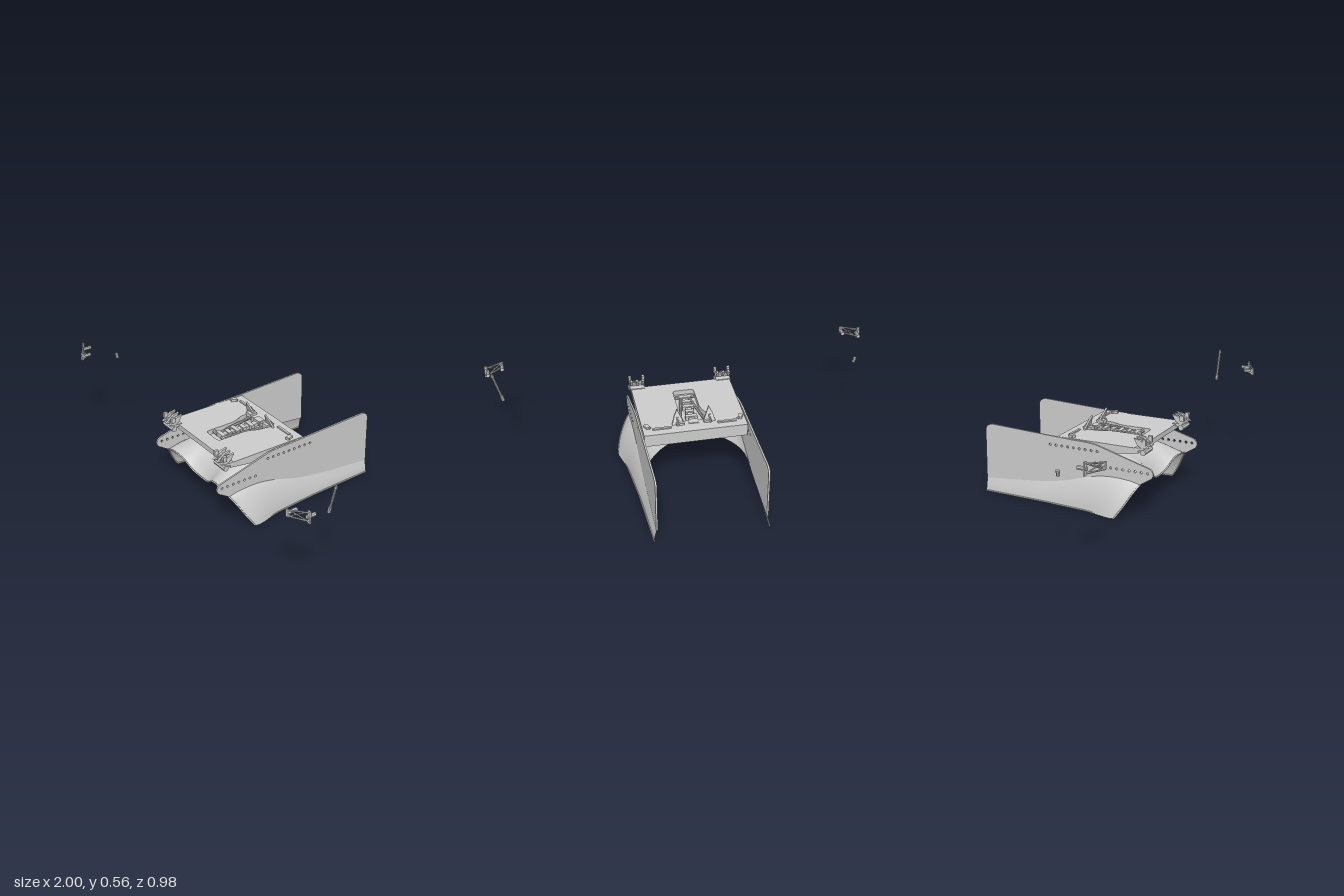
import * as THREE from 'three';

const mat = new THREE.MeshStandardMaterial({ color: 0xcccccc, side: THREE.DoubleSide });
const flat = new THREE.MeshStandardMaterial({ color: 0xcccccc, side: THREE.DoubleSide, flatShading: true });
const V = (p) => new THREE.Vector3(...p);

function add(parent, name, geo, m = flat) {
  const mesh = new THREE.Mesh(geo, m);
  mesh.name = name;
  parent.add(mesh);
  return mesh;
}
function box(parent, name, w, h, d, x, y, z) {
  const m = add(parent, name, new THREE.BoxGeometry(w, h, d));
  m.position.set(x, y, z);
  return m;
}
// Rod between two points, r2 is the radius at the far end
function rod(parent, name, a, b, r, r2 = r, sides = 8) {
  const A = V(a), B = V(b), dir = B.clone().sub(A);
  const m = add(parent, name, new THREE.CylinderGeometry(r2, r, dir.length(), sides));
  m.position.copy(A).add(B).multiplyScalar(0.5);
  m.quaternion.setFromUnitVectors(new THREE.Vector3(0, 1, 0), dir.normalize());
  return m;
}
// Extrude a (z, y) profile across x, centred on x
function acrossX(shape, width, x) {
  const g = new THREE.ExtrudeGeometry(shape, { depth: width, bevelEnabled: false, curveSegments: 12 });
  return g.rotateY(-Math.PI / 2).translate(x + width / 2, 0, 0);
}
const poly = (pts) => new THREE.Shape(pts.map((p) => new THREE.Vector2(...p)));

// Smooth skin lofted through rows of cross-section points
function loft(rows, nu, nv) {
  const spline = (pts, n) => new THREE.CatmullRomCurve3(pts, false, 'centripetal');
  const sampled = rows.map((r) => {
    const c = spline(r);
    return Array.from({ length: nu + 1 }, (_, i) => c.getPoint(i / nu));
  });
  const pos = [], idx = [];
  for (let i = 0; i <= nu; i++) {
    const c = spline(sampled.map((r) => r[i]));
    for (let j = 0; j <= nv; j++) {
      const p = c.getPoint(j / nv);
      pos.push(p.x, Math.max(p.y, 0), p.z);
      if (i < nu && j < nv) {
        const a = i * (nv + 1) + j, b = a + nv + 1;
        idx.push(a, a + 1, b, b, a + 1, b + 1);
      }
    }
  }
  const g = new THREE.BufferGeometry();
  g.setAttribute('position', new THREE.Float32BufferAttribute(pos, 3));
  g.setIndex(idx);
  g.computeVertexNormals();
  return g;
}

// Half cross-sections of the arched hood, from the lower hem to the middle
const rim = [[.352, 0, .262], [.335, .06, .30], [.30, .13, .34], [.27, .165, .362],
  [.2, .182, .365], [.13, .175, .36], [.07, .135, .345], [0, .12, .335]];
const chest = [[.355, 0, .235], [.343, .05, .25], [.315, .12, .26], [.273, .18, .27],
  [.2, .225, .27], [.13, .235, .26], [.07, .225, .25], [0, .22, .25]];
const crown = [[.325, 0, .1], [.318, .05, .1], [.30, .11, .1], [.272, .165, .1],
  [.2, .243, .1], [.13, .265, .1], [.07, .274, .1], [0, .275, .1]];
const back = [[.303, 0, -.13], [.297, .035, -.13], [.287, .07, -.13], [.272, .108, -.13],
  [.235, .18, -.09], [.15, .25, -.07], [.07, .271, -.06], [0, .275, -.06]];
const mirrorRow = (r) => [...r.map(V), ...r.slice(0, -1).reverse().map(([x, y, z]) => V([-x, y, z]))];

function sideWall(parent, s) {
  const shape = new THREE.Shape();
  shape.moveTo(-.49, .07);
  shape.splineThru([[-.2, .097], [-.05, .122], [.1, .165], [.2, .18], [.3, .176], [.36, .163]].map((p) => new THREE.Vector2(...p)));
  shape.lineTo(.415, .197);
  shape.bezierCurveTo(.435, .21, .435, .243, .40, .252);
  shape.lineTo(.13, .328);
  shape.quadraticCurveTo(.09, .336, 0, .336);
  shape.lineTo(-.45, .356);
  shape.quadraticCurveTo(-.49, .354, -.49, .318);
  const hole = (z, y) => {
    const h = new THREE.Path();
    h.absarc(z, y, .006, 0, Math.PI * 2, true);
    shape.holes.push(h);
  };
  for (let i = 0; i < 7; i++) hole(.40 - i * .0323, .225);
  for (let i = 0; i < 9; i++) hole(.133 - i * .0319, .297);
  add(parent, 'sideWall', acrossX(shape, .009, s * .272));
  // Hem that flares outward below the wall
  const rows = [back.slice(0, 4),
    [[.295, 0, -.25], [.291, .03, -.25], [.283, .06, -.25], [.273, .092, -.25]],
    [[.287, 0, -.49], [.284, .025, -.49], [.279, .048, -.49], [.273, .07, -.49]]];
  add(parent, 'rearHem', loft(rows.map((r) => r.map(([x, y, z]) => V([s * x, y, z]))), 8, 10), mat);
  rod(parent, 'hemEdge', [s * .350, .004, .262], [s * .324, .004, .1], .004);
  rod(parent, 'hemEdge', [s * .324, .004, .1], [s * .303, .004, -.13], .004);
  rod(parent, 'hemEdge', [s * .303, .004, -.13], [s * .286, .004, -.488], .004);
}

function deck(parent) {
  const top = poly([[-.262, .09], [.262, .09], [.262, -.342], [-.262, -.342]]);
  const slot = new THREE.Path();
  slot.moveTo(-.085, .0);
  slot.lineTo(.085, .0);
  slot.lineTo(.08, -.05);
  slot.quadraticCurveTo(.055, -.09, .055, -.13);
  slot.lineTo(.055, -.25);
  slot.quadraticCurveTo(.055, -.27, .035, -.27);
  slot.lineTo(-.035, -.27);
  slot.quadraticCurveTo(-.055, -.27, -.055, -.25);
  slot.lineTo(-.055, -.13);
  slot.quadraticCurveTo(-.055, -.09, -.08, -.05);
  top.holes.push(slot);
  const g = new THREE.ExtrudeGeometry(top, { depth: .026, bevelEnabled: false });
  add(parent, 'deckPlate', g.rotateX(-Math.PI / 2).translate(0, .312, 0));
  add(parent, 'deckUnderside', acrossX(poly([[.335, .312], [-.09, .312], [-.09, .272], [.0, .278], [.2, .293]]), .524, 0));
  add(parent, 'slotTrough', acrossX(poly([[.3, .305], [-.05, .305], [-.05, .275], [.2, .276]]), .12, 0));

  // Linkage lying in the slot
  box(parent, 'linkSpine', .03, .016, .22, 0, .322, .115);
  for (let i = 0; i < 5; i++) box(parent, 'linkBlock', .06 - (i % 2) * .016, .022, .022, 0, .325, .045 + i * .043);
  for (const s of [-1, 1]) {
    rod(parent, 'linkRod', [s * .06, .328, .01], [s * .024, .325, .21], .007);
    rod(parent, 'linkPin', [s * .02, .326, .225], [s * .05, .326, .225], .009);
    box(parent, 'linkHinge', .04, .03, .04, s * .07, .334, -.015);
    // Leaning fins
    const fin = new THREE.ExtrudeGeometry(poly([[-.03, 0], [.03, 0], [.024, .025], [0, .075], [-.018, .04]]), { depth: .01, bevelEnabled: false });
    const p = fin.attributes.position;
    for (let i = 0; i < p.count; i++) p.setXYZ(i, -s * p.getX(i), p.getY(i), p.getZ(i) - .028 + p.getY(i) * .4);
    if (s > 0) for (let k = 0; k < p.count; k += 3) {
      const a = V([p.getX(k), p.getY(k), p.getZ(k)]);
      p.setXYZ(k, p.getX(k + 1), p.getY(k + 1), p.getZ(k + 1));
      p.setXYZ(k + 1, a.x, a.y, a.z);
    }
    fin.computeVertexNormals();
    add(parent, 'fin', fin).position.set(s * .081, .335, 0);
    rod(parent, 'finStay', [s * .081, .34, -.04], [s * .081, .375, -.012], .005);
    // Rear rails and end knobs
    box(parent, 'rearRail', .095, .008, .012, s * .165, .341, -.045);
    box(parent, 'railKnob', .02, .014, .03, s * .238, .343, -.022).rotation.y = s * .4;
    rod(parent, 'railPin', [s * .222, .342, -.035], [s * .25, .342, -.01], .007);
  }
  rod(parent, 'linkAxle', [-.1, .33, -.03], [.1, .33, -.03], .008);
  box(parent, 'linkHead', .05, .024, .035, 0, .33, -.012);
}

// Clamp on each front corner of the deck
function cornerClamp(parent, s) {
  const c = new THREE.Group();
  c.name = 'cornerClamp';
  parent.add(c);
  const leaf = poly([[.396, .345], [.362, .34], [.34, .352], [.32, .386], [.352, .38]]);
  for (const x of [.198, .228, .258]) add(c, 'clampLeaf', acrossX(leaf, .012, s * x));
  rod(c, 'clampBarrel', [s * .185, .322, .372], [s * .272, .322, .372], .014);
  box(c, 'clampFoot', .075, .014, .05, s * .228, .335, .35);
  box(c, 'clampHead', .05, .01, .03, s * .228, .352, .362);
  for (const x of [.192, .262]) box(c, 'clampCap', .014, .028, .02, s * x, .372, .375);
  rod(c, 'clampBrace', [s * .198, .35, .38], [s * .258, .38, .335], .004);
}

// Detached clamp floating out to the side
function looseClamp(parent, s) {
  const c = new THREE.Group();
  c.name = 'looseClamp';
  parent.add(c);
  const P = (x, y, z) => [s * x, y, z];
  rod(c, 'stub', P(.982, .469, .40), P(.982, .469, .445), .010);
  rod(c, 'stub', P(.908, .469, .442), P(.908, .469, .492), .010);
  for (const y of [.448, .492]) {
    rod(c, 'strut', P(.992, y, .435), P(.908, y > .47 ? .483 : .453, .49), .004);
    rod(c, 'spur', P(.978, .469, .44), P(.992, y, .435), .005);
    rod(c, 'spur', P(.908, .469, .46), P(.905, y > .47 ? .483 : .453, .492), .005);
  }
  rod(c, 'crossStrut', P(.985, .494, .437), P(.912, .453, .485), .003);
  rod(c, 'crossStrut', P(.985, .446, .437), P(.912, .483, .485), .003);
  box(c, 'endPlate', .016, .062, .008, s * .99, .471, .438);
  box(c, 'endPlate', .016, .036, .008, s * .908, .468, .49);
}

export function createModel() {
  const root = new THREE.Group();
  root.name = 'model';

  // Arched hood and its front rim
  add(root, 'archedHood', loft([rim, chest, crown, back].map(mirrorRow), 48, 24), mat);
  const edge = new THREE.CatmullRomCurve3(mirrorRow(rim).map((p) => p.setY(Math.max(p.y, .004))), false, 'centripetal');
  add(root, 'hoodRim', new THREE.TubeGeometry(edge, 60, .004, 6), mat);

  for (const s of [-1, 1]) {
    sideWall(root, s);
    cornerClamp(root, s);
    looseClamp(root, s);
    rod(root, 'collar', [s * .92, .395, .275], [s * .927, .422, .275], .009);
  }
  deck(root);

  // Pointed pin standing in one collar
  rod(root, 'pinShaft', [.927, .42, .275], [.962, .545, .275], .006);
  rod(root, 'pinTip', [.961, .541, .275], [.966, .561, .275], .009, .001);
  return root;
}
